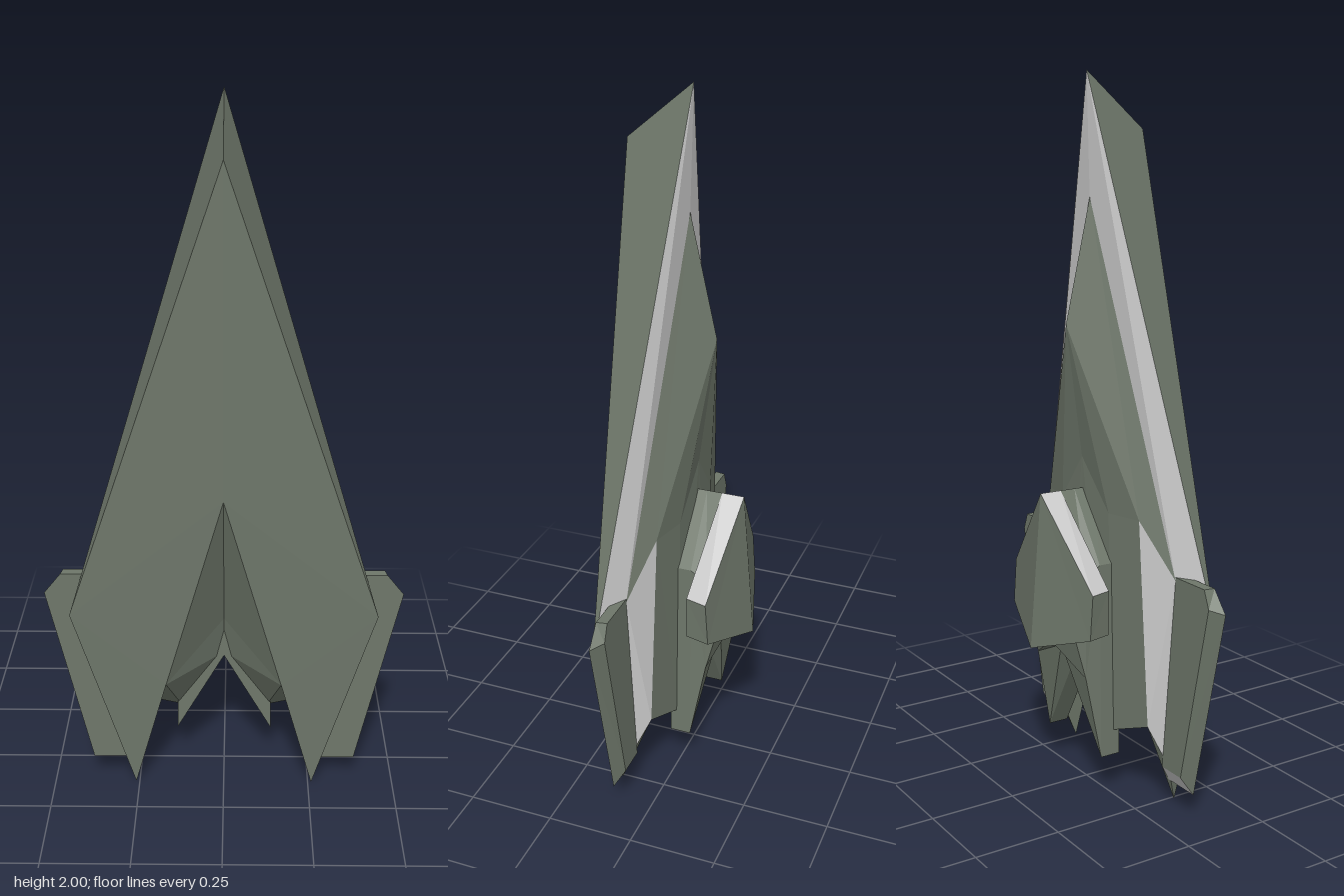
import * as THREE from 'three';

const makeMat = (color) => new THREE.MeshStandardMaterial({
  color, flatShading: true, side: THREE.DoubleSide,
});

// Mesh from convex panels given on the +x half, mirrored to the -x half
function mirroredMesh(name, panels, material) {
  const pos = [];
  for (const p of panels) {
    for (let i = 1; i < p.length - 1; i++) {
      const tri = [p[0], p[i], p[i + 1]];
      tri.forEach((v) => pos.push(...v));
      [tri[0], tri[2], tri[1]].forEach(([x, y, z]) => pos.push(-x, y, z));
    }
  }
  const geo = new THREE.BufferGeometry();
  geo.setAttribute('position', new THREE.Float32BufferAttribute(pos, 3));
  geo.computeVertexNormals();
  const mesh = new THREE.Mesh(geo, material);
  mesh.name = name;
  return mesh;
}

// Side panels between two rings, front ring first
function bridgeRings(front, back, closed = false) {
  const n = front.length;
  const panels = [];
  for (let i = 0; i < (closed ? n : n - 1); i++) {
    const j = (i + 1) % n;
    panels.push([front[i], front[j], back[j], back[i]]);
  }
  return panels;
}

export function createModel() {
  const group = new THREE.Group();
  const green = makeMat(0x6e776a);
  const grey = makeMat(0xcccccc);
  const add = (name, panels, mat) => group.add(mirroredMesh(name, panels, mat));

  // Hull corner points
  const nose = [0, 2, 0];
  const chin = [0, 1.85, 0.182];
  const corner = [0.437, 0.56, 0.124];
  const tail = [0.26, 0, 0.127];
  const notchTop = [0, 0.94, 0.18];
  const notchSide = [0.165, 0.35, 0.15];
  const deckTop = [0, 1.67, 0.01];
  const deckPeak = [0, 1.33, -0.066];
  const deckEdge = [0.33, 0.67, 0.07];
  const deckShoulder = [0.23, 0.82, 0.02];
  const deckInner = [0.12, 0.82, -0.005];
  const deckNotch = [0, 0.96, -0.015];
  const sternOuter = [0.29, 0.12, 0.085];
  const sternMid = [0.265, 0.24, 0.03];
  const sternInner = [0.13, 0.19, 0];
  const sternCentre = [0, 0.37, 0];
  const recessFloor = [0, 0.5, 0.03];

  // Arrowhead plate with its bevelled flanks
  add('hullPlate', [
    [corner, chin, notchTop, notchSide, tail],
    [nose, chin, corner],
    [corner, tail, sternOuter, deckEdge],
  ], green);

  // Pale band around the raised deck, and the deck's outer slopes
  add('hullTrim', [
    [nose, corner, deckEdge, deckTop],
    [deckEdge, sternOuter, sternMid, deckShoulder],
  ], grey);

  add('raisedDeck', [
    [deckTop, deckEdge, deckShoulder, deckPeak],
    [deckPeak, deckShoulder, deckInner, deckNotch],
    [deckShoulder, sternMid, sternInner, deckInner],
    [deckNotch, deckInner, sternInner, sternCentre],
  ], green);

  // V-shaped recess cut into the plate
  add('sternRecess', [
    [notchTop, recessFloor, notchSide],
    [recessFloor, sternCentre, notchSide],
    [sternCentre, sternInner, notchSide],
    [sternInner, sternMid, notchSide],
    [sternMid, sternOuter, tail, notchSide],
  ], green);

  // Side wings with chamfered rims
  const atZ = (z, pts) => pts.map(([x, y]) => [x, y, z]);
  const wingFront = atZ(0.1, [[0.3, 0.68], [0.46, 0.68], [0.508, 0.62], [0.385, 0.07], [0.27, 0.07]]);
  const wingBack = atZ(0.07, [[0.3, 0.68], [0.455, 0.68], [0.475, 0.63], [0.365, 0.12], [0.28, 0.12]]);
  const wingSides = bridgeRings(wingFront, wingBack, true);
  add('wings', [
    [...wingFront].reverse(), wingBack,
    ...wingSides.filter((_, i) => i !== 3),
  ], green);
  add('wingEnds', [wingSides[3]], grey);

  // Forked neck carrying the tower
  const fork = [[0, 0.87], [0.13, 0.68], [0.14, 0.12], [0, 0.37]];
  const neckRings = [
    atZ(0.02, fork),
    atZ(-0.04, fork),
    atZ(-0.085, [[0, 0.87], [0.13, 0.65], [0.13, 0.36], [0, 0.42]]),
    atZ(-0.12, [[0, 0.8], [0.13, 0.62], [0.12, 0.5], [0, 0.44]]),
  ];
  add('neck', [
    [...neckRings[0]].reverse(),
    ...neckRings.slice(1).flatMap((ring, i) => bridgeRings(neckRings[i], ring)),
  ], green);

  // Six-sided command tower with a centre crease
  const towerFront = [[0, 0.87, -0.085], [0.19, 0.625, -0.05], [0.19, 0.5, -0.05], [0, 0.43, -0.12]];
  const towerBack = [[0, 0.87, -0.15], [0.207, 0.625, -0.112], [0.207, 0.5, -0.12], [0, 0.43, -0.185]];
  const [top, side, bottom] = bridgeRings(towerFront, towerBack);
  add('commandTower', [[...towerFront].reverse(), towerBack, side], green);
  add('towerTrim', [top, bottom], grey);

  return group;
}
